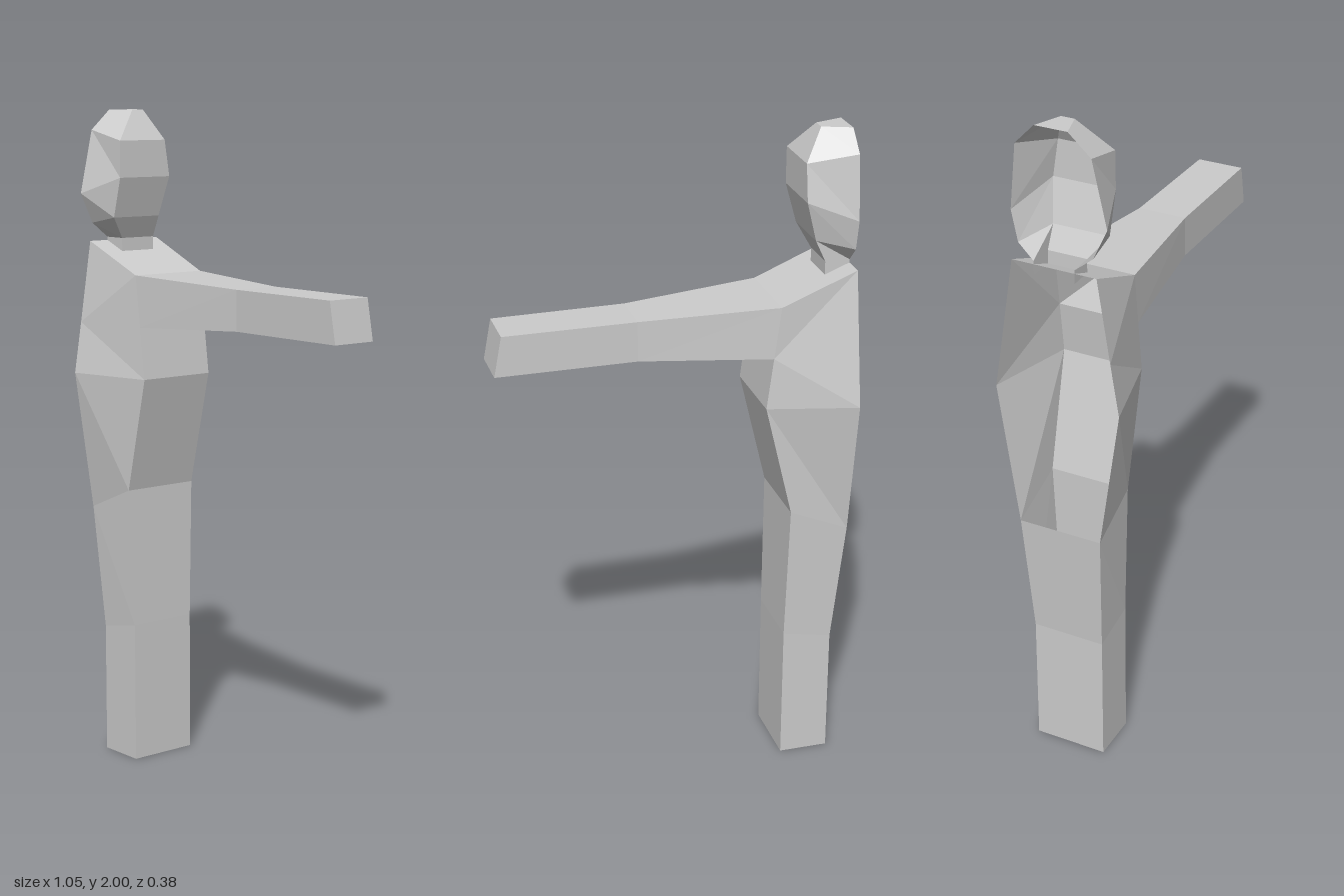
import * as THREE from 'three';

const material = new THREE.MeshStandardMaterial({
  color: 0xcccccc, flatShading: true, side: THREE.DoubleSide,
});

// Skins a row of four-point rings; open shells leave out the last side.
function loft(name, rings, { closed = false, capStart = false, capEnd = false } = {}) {
  const pos = [];
  const quad = (a, b, c, d) => pos.push(...a, ...b, ...c, ...a, ...c, ...d);
  for (let r = 0; r < rings.length - 1; r++) {
    const a = rings[r], b = rings[r + 1];
    for (let i = 0; i < (closed ? 4 : 3); i++) {
      const j = (i + 1) % 4;
      quad(a[i], b[i], b[j], a[j]);
    }
  }
  if (capStart) quad(...rings[0]);
  if (capEnd) quad(...[...rings[rings.length - 1]].reverse());
  const geometry = new THREE.BufferGeometry();
  geometry.setAttribute('position', new THREE.Float32BufferAttribute(pos, 3));
  geometry.computeVertexNormals();
  const mesh = new THREE.Mesh(geometry, material);
  mesh.name = name;
  return mesh;
}

// Horizontal ring, same front and back: inner x, y, z and outer x, y, z.
const level = (xi, yi, zi, xo, yo, zo) =>
  [[xi, yi, zi], [xo, yo, zo], [xo, yo, -zo], [xi, yi, -zi]];

// Upright ring across the arm: top x, y, z and bottom x, y, z.
const across = (xt, yt, zt, xb, yb, zb) =>
  [[xb, yb, zb], [xt, yt, zt], [xt, yt, -zt], [xb, yb, -zb]];

const MID = -0.523; // open centre plane of the half figure

// Head ring: centre y, front z, back z; side x, y, front z, back z.
const headRing = (yc, fc, bc, xs, ys, fs, bs) =>
  [[MID, yc, fc], [xs, ys, fs], [xs, ys, bs], [MID, yc, bc]];

export function createModel() {
  const model = new THREE.Group();
  model.name = 'halfFigure';

  // Shoulder flows into the arm
  const shoulder = across(-0.3, 1.515, 0.123, -0.28, 1.36, 0.123);
  model.add(loft('shoulder', [
    across(MID, 1.605, 0.127, MID, 1.36, 0.165),
    shoulder,
  ]));
  model.add(loft('arm', [
    shoulder,
    across(0.11, 1.5, 0.073, 0.11, 1.38, 0.073),
    across(0.5, 1.5, 0.07, 0.523, 1.38, 0.07),
  ], { closed: true, capEnd: true }));

  // Torso, open along the centre plane
  const hip = level(MID, 0.78, 0.127, -0.345, 0.855, 0.122);
  model.add(loft('torso', [
    level(MID, 1.36, 0.165, -0.28, 1.36, 0.123),
    level(MID, 1.205, 0.19, -0.26, 1.205, 0.123),
    hip,
  ]));

  // Leg
  model.add(loft('leg', [
    hip,
    level(-0.488, 0.4, 0.11, -0.338, 0.43, 0.108),
    level(-0.488, 0, 0.11, -0.338, 0, 0.108),
  ], { closed: true, capEnd: true }));

  // Head narrowing to the neck, open along the centre plane
  const neckTop = headRing(1.615, 0.062, -0.06, -0.45, 1.615, 0.06, -0.058);
  model.add(loft('head', [
    headRing(2, 0.05, -0.048, -0.44, 2, 0.025, -0.015),
    headRing(1.94, 0.117, -0.106, -0.386, 1.91, 0.112, -0.056),
    headRing(1.75, 0.16, -0.124, -0.386, 1.8, 0.113, -0.073),
    headRing(1.66, 0.118, -0.105, -0.42, 1.68, 0.112, -0.057),
    neckTop,
  ], { capStart: true }));
  model.add(loft('neck', [
    neckTop,
    headRing(1.575, 0.062, -0.06, -0.45, 1.575, 0.06, -0.058),
  ]));

  return model;
}
